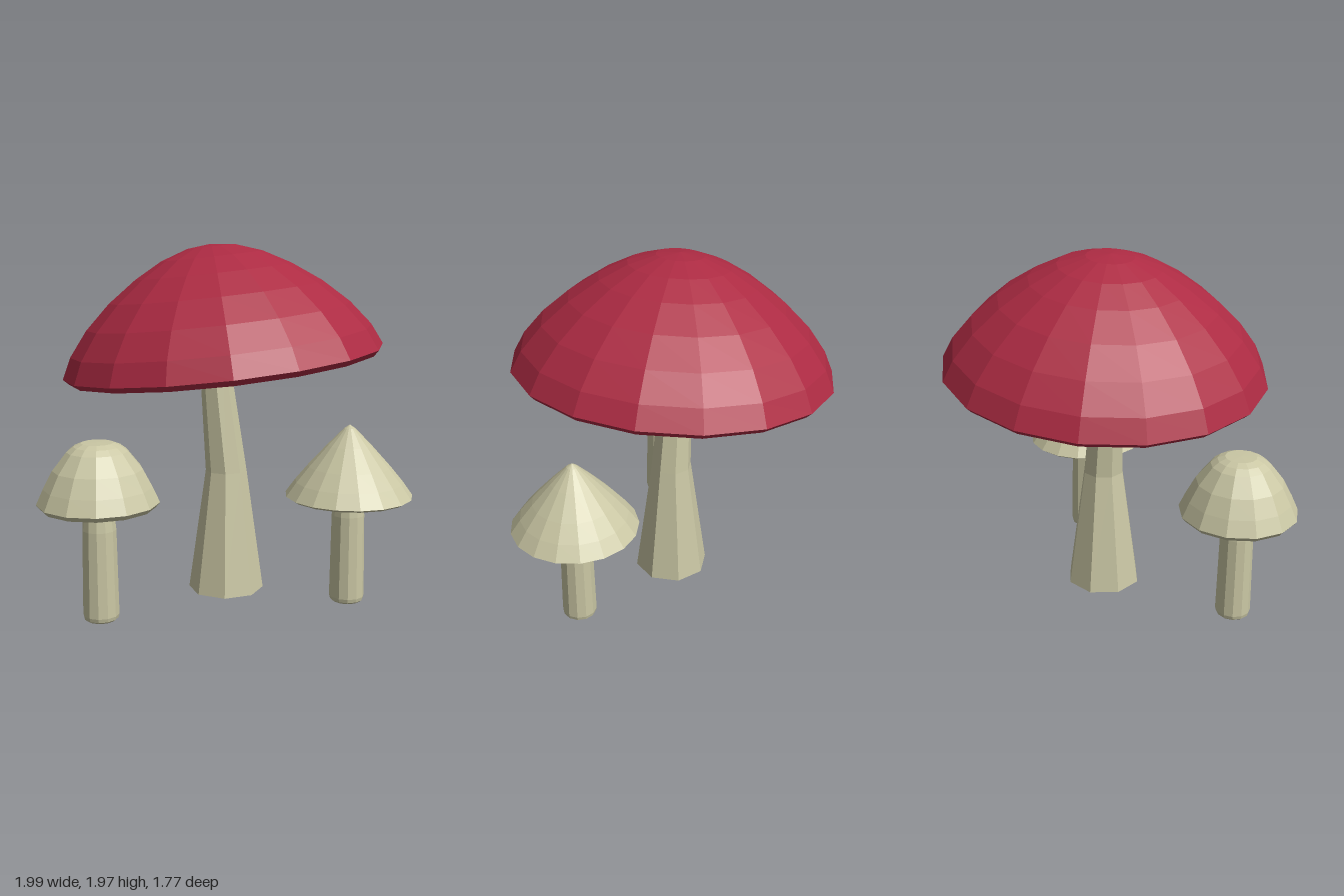
import * as THREE from 'three';

const RED = 0xad2b43, CREAM = 0xcac7a4;

// Low-poly turned solid; profile runs from the underside centre out and up to the top centre.
function turned(name, profile, sides, color) {
  const points = profile.map(([r, y]) => new THREE.Vector2(r, y));
  const geometry = new THREE.LatheGeometry(points, sides, Math.PI / 2);
  const mesh = new THREE.Mesh(geometry, new THREE.MeshStandardMaterial({ color, flatShading: true }));
  mesh.name = name;
  return mesh;
}

function smallMushroom(name, x, z, capProfile, capSides, stemTop) {
  const group = new THREE.Group();
  group.name = name;
  const stem = [[0, 0], [0.08, 0.005], [0.092, 0.015], [0.097, 0.035], [0.09, 0.5],
    [0.083, 0.57], [0.07, 0.62], [0.06, stemTop], [0, stemTop]];
  group.add(turned(name + 'Stem', stem, 12, CREAM));
  group.add(turned(name + 'Cap', capProfile, capSides, CREAM));
  group.position.set(x, 0, z);
  return group;
}

// Eight-sided stem lofted through rings that drift sideways, giving the bend.
function bentStem() {
  const rings = [[0.012, -0.032, 0.213], [0.705, -0.03, 0.116], [1.42, -0.102, 0.08]]; // y, x, radius
  const sides = 8;
  const geometry = new THREE.CylinderGeometry(1, 1, 2, sides, rings.length - 1);
  const pos = geometry.attributes.position;
  for (let i = 0; i < pos.count; i++) {
    const [y, x, r] = rings[Math.round(pos.getY(i) + 1)];
    pos.setXYZ(i, x + pos.getX(i) * r, y, pos.getZ(i) * r);
  }
  geometry.computeVertexNormals();
  const mesh = new THREE.Mesh(geometry, new THREE.MeshStandardMaterial({ color: CREAM, flatShading: true }));
  mesh.name = 'largeStem';
  return mesh;
}

export function createModel() {
  const model = new THREE.Group();
  model.name = 'mushrooms';

  // Large mushroom: bent stem and tilted red cap
  model.add(bentStem());
  const cap = turned('largeCap', [
    [0, 0.09], [0.27, 0.05], [0.6, 0.02], [0.86, 0], [0.89, 0.03], [0.835, 0.145], [0.73, 0.28],
    [0.59, 0.41], [0.43, 0.523], [0.28, 0.605], [0.13, 0.656], [0, 0.67],
  ], 17, RED);
  cap.position.set(-0.043, 1.305, 0);
  cap.rotation.z = 0.108;
  model.add(cap);

  // Small mushroom with a rounded, flat-topped cap
  model.add(smallMushroom('roundMushroom', -0.68, 0.505, [
    [0, 0.66], [0.12, 0.64], [0.3, 0.622], [0.322, 0.648], [0.285, 0.73], [0.235, 0.825],
    [0.16, 0.92], [0.125, 0.947], [0.085, 0.964], [0, 0.966],
  ], 13, 0.7));

  // Small mushroom with a pointed cap
  model.add(smallMushroom('pointedMushroom', 0.65, 0.18, [
    [0, 0.65], [0.13, 0.62], [0.33, 0.6], [0.35, 0.613], [0.295, 0.69], [0.225, 0.775],
    [0.12, 0.892], [0.03, 0.985], [0, 1.005],
  ], 17, 0.7));

  return model;
}
